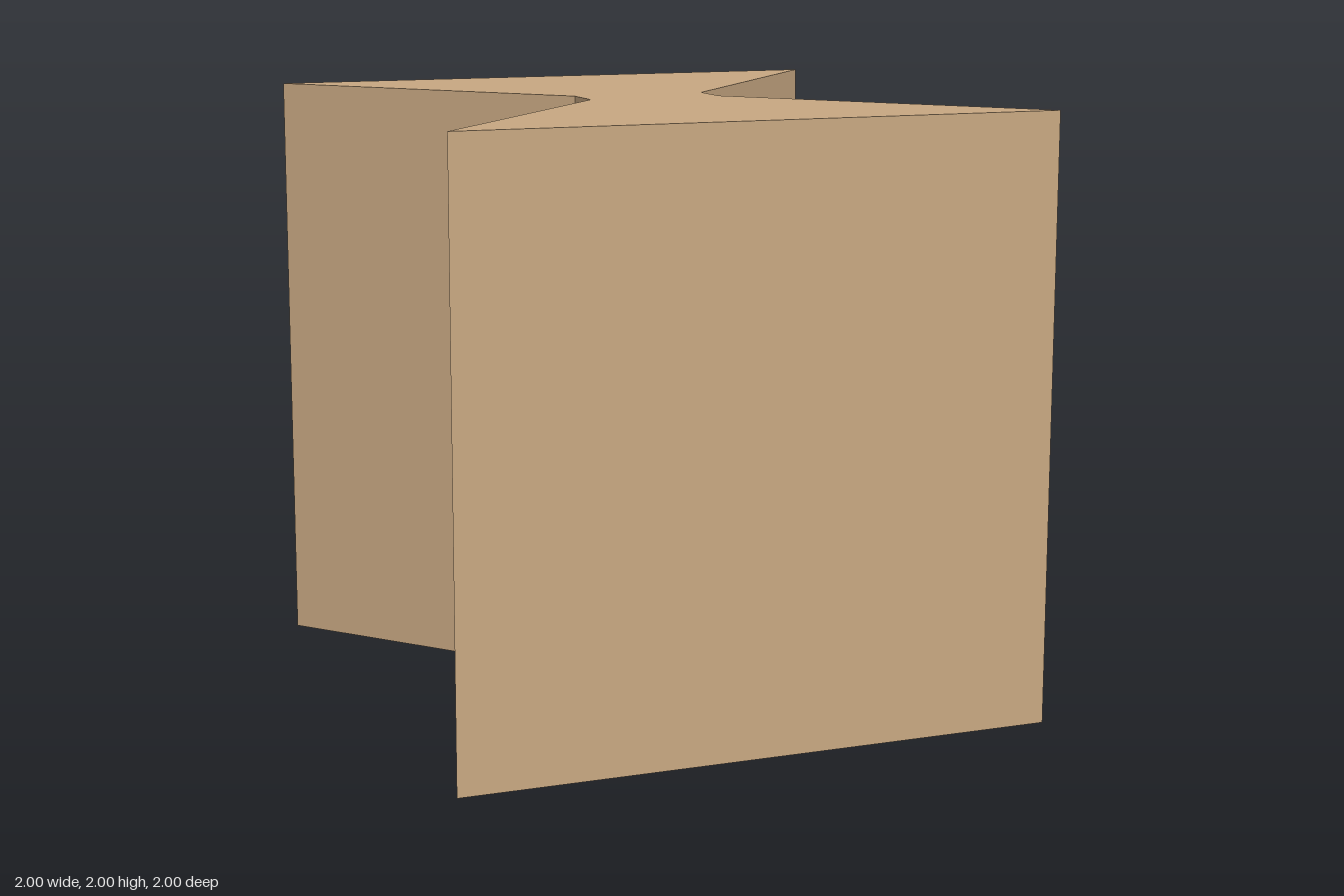
import * as THREE from 'three';

const HEIGHT = 2;
const HALF = 1;          // half width and depth of the flared ends
const WAIST_X = 0.228;   // half width of the waist
const WAIST_Z = 0.078;   // half length of the straight waist

export function createModel() {
  const group = new THREE.Group();
  group.name = 'bowTieBlock';

  const tan = new THREE.MeshStandardMaterial({ color: 0xc8a882 });
  tan.name = 'tan';

  // Double-dovetail outline, counter-clockwise, as seen from above
  const side = [[HALF, -HALF], [WAIST_X, -WAIST_Z], [WAIST_X, WAIST_Z], [HALF, HALF]];
  const outline = [...side, ...side.map(([x, z]) => [-x, -z])];
  const shape = new THREE.Shape(outline.map(([x, z]) => new THREE.Vector2(x, z)));

  // Upright prism standing on the ground
  const geometry = new THREE.ExtrudeGeometry(shape, { depth: HEIGHT, bevelEnabled: false });
  geometry.rotateX(-Math.PI / 2);

  const block = new THREE.Mesh(geometry, tan);
  block.name = 'dovetailKey';
  group.add(block);
  return group;
}
